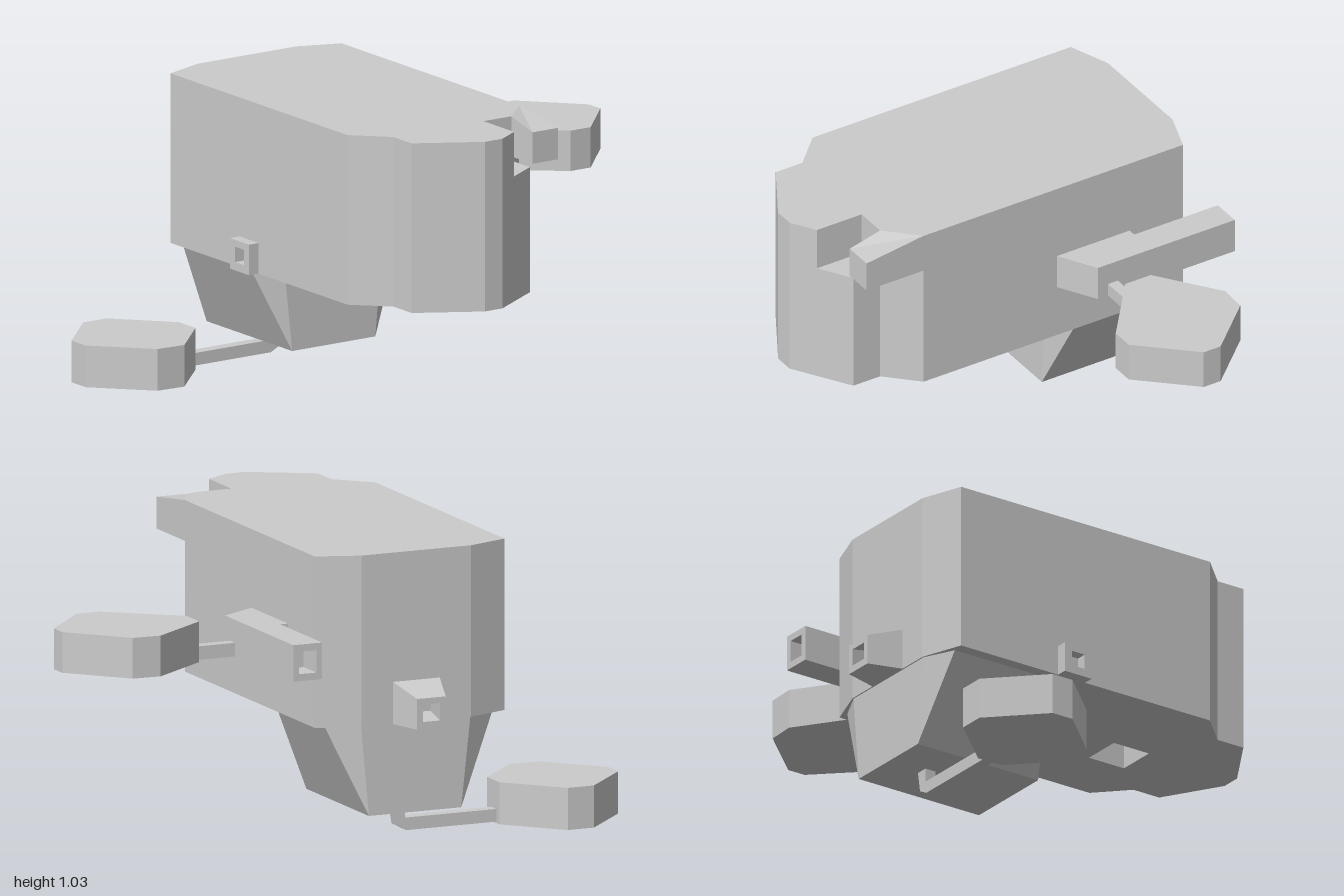
import * as THREE from 'three';
import { ConvexGeometry } from 'three/addons/geometries/ConvexGeometry.js';

const material = new THREE.MeshStandardMaterial({ color: 0xcccccc, flatShading: true });

const shapeOf = (pts) => new THREE.Shape(pts.map(([x, y]) => new THREE.Vector2(x, y)));
const rect = (x0, x1, y0, y1) => [[x0, y0], [x1, y0], [x1, y1], [x0, y1]];

// Upright prism from a plan outline of [x, z] points, with optional openings
function prism(plan, y0, y1, holes = []) {
  const flip = (pts) => pts.map(([x, z]) => [x, -z]);
  const shape = shapeOf(flip(plan));
  shape.holes = holes.map((h) => shapeOf(flip(h)));
  const geo = new THREE.ExtrudeGeometry(shape, { depth: y1 - y0, bevelEnabled: false });
  return geo.rotateX(-Math.PI / 2).translate(0, y0, 0);
}

// Prism along z from an [x, y] outline
function profile(pts, z0, z1, hole) {
  const shape = shapeOf(pts);
  if (hole) shape.holes = [shapeOf(hole)];
  return new THREE.ExtrudeGeometry(shape, { depth: z1 - z0, bevelEnabled: false }).translate(0, 0, z0);
}

// Move every vertex by a rule
function reshape(geo, rule) {
  const p = geo.attributes.position;
  const v = new THREE.Vector3();
  for (let i = 0; i < p.count; i++) {
    rule(v.fromBufferAttribute(p, i));
    p.setXYZ(i, v.x, v.y, v.z);
  }
  geo.computeVertexNormals();
  return geo;
}

export function createModel() {
  const model = new THREE.Group();
  const add = (name, geo) => {
    const mesh = new THREE.Mesh(geo, material);
    mesh.name = name;
    model.add(mesh);
  };

  // Body: the upper layer has a notch cut into the front corner
  const rear = [[0.195, 0.45], [0.195, -0.62], [0.04, -0.675], [-0.38, -0.675], [-0.535, -0.62],
    [-0.535, 0.445], [-0.42, 0.56], [-0.42, 0.67], [-0.2, 0.8], [-0.125, 0.8]];
  const socket = rect(-0.19, -0.04, 0.28, 0.43);
  add('lowerBody', prism([...rear, [0.085, 0.67], [0.085, 0.56]], 0.42, 0.87, [socket]));
  add('upperBody', prism([...rear, [-0.035, 0.744], [-0.035, 0.56], [0.085, 0.56]], 0.87, 1.03));

  // Corner block whose top slopes down to the front
  const block = prism([[0.085, 0.56], [0.195, 0.45], [0.195, 0.685], [0.085, 0.685]], 0.885, 1.03);
  add('cornerBlock', reshape(block, (v) => { if (v.z > 0.6 && v.y > 1) v.y = 0.998; }));

  // Tapered underside: chamfered at the top, rectangular at the bottom
  const top = [[0.155, -0.215], [0.155, -0.615], [0.04, -0.67], [-0.38, -0.67],
    [-0.49, -0.615], [-0.49, -0.215], [-0.38, -0.155], [0.04, -0.155]];
  const base = rect(-0.345, 0.01, -0.67, -0.155);
  add('taperedBase', new ConvexGeometry([
    ...top.map(([x, z]) => new THREE.Vector3(x, 0.42, z)),
    ...base.map(([x, z]) => new THREE.Vector3(x, 0.1, z)),
  ]));

  // Hollow rear nozzle, narrowing away from the body
  const nozzle = profile(rect(-0.26, -0.08, 0.42, 0.57), -0.8, -0.675, rect(-0.225, -0.115, 0.455, 0.54));
  add('rearNozzle', reshape(nozzle, (v) => {
    if (v.z < -0.75) {
      v.x = -0.17 + (v.x + 0.17) * 0.61;
      v.y = 0.42 + (v.y - 0.42) * 0.73;
    }
  }));

  // Side rail with an open rear end
  add('sideRail', prism([[0.195, -0.1], [0.335, -0.18], [0.335, -0.64], [0.225, -0.64],
    [0.225, -0.4], [0.195, -0.4]], 0.62, 0.75));
  add('sideRailEnd', profile(rect(0.225, 0.335, 0.62, 0.75), -0.745, -0.64, rect(0.247, 0.313, 0.645, 0.725)));

  // Small hollow tab on the right side
  const tab = profile(rect(0.09, 0.205, 0.42, 0.53), 0, 0.04, rect(0.12, 0.175, 0.45, 0.505));
  add('sideTab', tab.rotateY(-Math.PI / 2).translate(-0.535, 0, -0.295 + 0));
  tab.translate(0, 0, 0.295 - 0.295);

  // Paddles and their arms
  add('leftPaddle', prism([[0.49, -0.3], [0.715, -0.465], [0.82, -0.46], [1, -0.265],
    [1, -0.195], [0.82, 0], [0.735, 0], [0.49, -0.195]], 0.62, 0.765));
  add('leftArm', profile(rect(0.33, 0.5, 0.62, 0.668), -0.263, -0.222));
  add('rightPaddle', prism([[-0.545, -0.555], [-0.72, -0.745], [-0.82, -0.745], [-1, -0.56],
    [-1, -0.475], [-0.825, -0.29], [-0.715, -0.283], [-0.545, -0.455]], 0, 0.15));
  add('rightArm', profile([[-0.55, 0.005], [-0.2, 0.005], [-0.162, 0.025], [-0.148, 0.11],
    [-0.195, 0.11], [-0.195, 0.05], [-0.55, 0.05]], -0.53, -0.487));
  return model;
}
